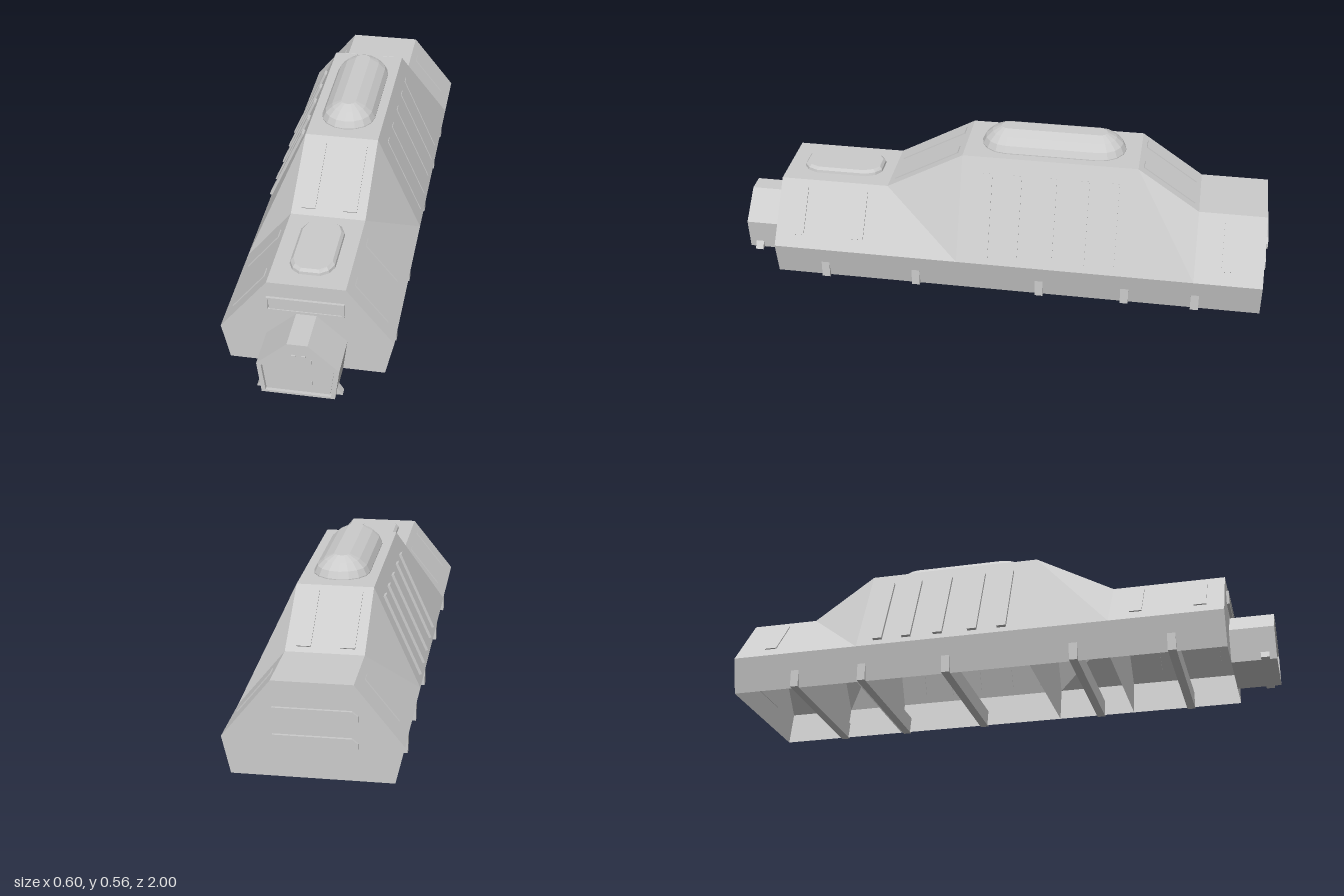
import * as THREE from 'three';

const V = (x, y, z) => new THREE.Vector3(x, y, z);
const mat = new THREE.MeshStandardMaterial({ color: 0xcccccc, flatShading: true, side: THREE.DoubleSide });

function add(parent, name, geo) {
  const mesh = new THREE.Mesh(geo, mat);
  mesh.name = name;
  parent.add(mesh);
  return mesh;
}

// Skin between successive rings of points
function loft(rings, closed) {
  const n = rings[0].length, pos = [];
  const put = (...pts) => pts.forEach(p => pos.push(p.x, p.y, p.z));
  for (let i = 0; i < rings.length - 1; i++) {
    const a = rings[i], b = rings[i + 1];
    for (let k = 0; k < (closed ? n : n - 1); k++) {
      const j = (k + 1) % n;
      put(a[k], b[k], a[j], b[k], b[j], a[j]);
    }
  }
  const g = new THREE.BufferGeometry();
  g.setAttribute('position', new THREE.Float32BufferAttribute(pos, 3));
  g.computeVertexNormals();
  return g;
}

function box(parent, name, w, h, d, x, y, z) {
  return add(parent, name, new THREE.BoxGeometry(w, h, d).translate(x, y, z));
}

// Thin strip lying on a sloped plate, running from a to b
function strip(parent, name, a, b, across, width, thick) {
  const along = b.clone().sub(a), len = along.length();
  along.normalize();
  const normal = across.clone().cross(along);
  const m = new THREE.Matrix4().makeBasis(across, along, normal).setPosition(a.clone().add(b).multiplyScalar(0.5));
  return add(parent, name, new THREE.BoxGeometry(width, len, thick * 2).applyMatrix4(m));
}

function polygon(points) {
  return new THREE.Shape(points.map(([x, y]) => new THREE.Vector2(x, y)));
}

function extrude(shape, depth, z) {
  return new THREE.ExtrudeGeometry(shape, { depth, bevelEnabled: false }).translate(0, 0, z);
}

export function createModel() {
  const model = new THREE.Group();
  model.name = 'armouredHull';

  // Hull: one six-point section, low at the ends and tall amidships
  const LOW = 0.335, HIGH = 0.495;
  const section = top => [[0.27, 0], [0.3, 0.13], [0.135, top], [-0.135, top], [-0.3, 0.13], [-0.27, 0]];
  const stations = [[0.84, LOW], [0.43, LOW], [0.14, HIGH], [-0.51, HIGH], [-0.74, LOW], [-0.99, LOW]];
  add(model, 'hullShell', loft(stations.map(([z, top]) => section(top).map(([x, y]) => V(x, y, z)))));

  // End plates and inner bulkheads; the underside is open
  stations.forEach(([z, top], i) => {
    const end = i === 0 ? 'frontPlate' : i === stations.length - 1 ? 'rearPlate' : 'bulkhead';
    const plate = add(model, end, new THREE.ShapeGeometry(polygon(section(top))));
    plate.position.z = z;
    if (i > 0) plate.rotation.y = Math.PI;
  });

  // Cross beams under the hull, their ends poking out of the skirts
  for (const z of [0.65, 0.3, -0.17, -0.49, -0.75]) box(model, 'crossBeam', 0.57, 0.065, 0.03, 0, 0.0325, z);

  // Side strips on the sloped plates
  for (const s of [1, -1]) {
    const across = V(0, 0, -s);
    const onSide = (top, t, z) => V(s * (0.3 - 0.165 * t), 0.13 + (top - 0.13) * t, z);
    for (const z of [0.04, -0.07, -0.2, -0.32, -0.43])
      strip(model, 'tallSideStrip', onSide(HIGH, 0.06, z), onSide(HIGH, 0.85, z), across, 0.034, s < 0 ? 0.01 : 0.003);
    for (const z of [0.755, 0.525, -0.86])
      strip(model, 'lowSideStrip', onSide(LOW, 0.19, z), onSide(LOW, 0.88, z), across, 0.045, 0.004);

    // Panels on the front and rear ramps
    for (const [z0, z1] of [[0.43, 0.14], [-0.74, -0.51]]) {
      const onRamp = t => V(s * 0.075, LOW + (HIGH - LOW) * t, z0 + (z1 - z0) * t);
      strip(model, 'rampPanel', onRamp(0.08), onRamp(0.92), V(Math.sign(z0), 0, 0), 0.05, 0.004);
    }
  }

  // Long roof blister: stacked stadium rings
  const stadium = (r, y) => {
    const pts = [];
    for (let e = 0; e < 2; e++)
      for (let k = 0; k <= 8; k++) {
        const a = Math.PI * (e + k / 8);
        pts.push(V(r * Math.cos(a), y, -0.185 + (e ? -0.17 : 0.17) + r * Math.sin(a)));
      }
    return pts;
  };
  const blister = [[0.1, 0.49], [0.1, 0.498], [0.088, 0.522], [0.063, 0.545], [0.028, 0.563], [0, 0.563]];
  add(model, 'roofBlister', loft(blister.map(([r, y]) => stadium(r, y)), true));

  // Front roof hatch: bevelled, with clipped corners
  const clipped = (w, l, y) => [
    [w, -l + 0.055], [w, l - 0.055], [w * 0.8, l - 0.02], [w * 0.45, l], [-w * 0.45, l], [-w * 0.8, l - 0.02],
    [-w, l - 0.055], [-w, -l + 0.055], [-w * 0.8, -l + 0.02], [-w * 0.45, -l], [w * 0.45, -l], [w * 0.8, -l + 0.02],
  ].map(([x, z]) => V(x, y, z + 0.625));
  const hatchRings = [clipped(0.08, 0.152, 0.33), clipped(0.077, 0.15, 0.345), clipped(0.068, 0.142, 0.355)];
  hatchRings.push(hatchRings[2].map(() => V(0, 0.355, 0.625)));
  add(model, 'roofHatch', loft(hatchRings, true));

  // Front vision panel: frame and recessed plate
  box(model, 'visionPlate', 0.25, 0.04, 0.008, -0.003, 0.252, 0.842);
  for (const s of [1, -1]) {
    box(model, 'visionFrame', 0.267, 0.006, 0.02, -0.003, 0.252 + s * 0.023, 0.84);
    box(model, 'visionFrame', 0.006, 0.05, 0.02, -0.003 + s * 0.13, 0.252, 0.84);
  }

  // Entrance porch with rim, recessed door and fittings
  const porch = new THREE.Group();
  porch.name = 'entrancePorch';
  model.add(porch);
  const outline = [[0.125, 0], [0.14, 0.12], [0.035, 0.215], [-0.035, 0.215], [-0.14, 0.12], [-0.125, 0]];
  const inner = outline.map(([x, y]) => [x * 0.89, 0.008 + y * 0.88]);
  add(porch, 'porchBody', extrude(polygon(outline), 0.145, 0.84));
  const rim = polygon(outline);
  rim.holes.push(polygon(inner));
  add(porch, 'porchRim', extrude(rim, 0.015, 0.985));
  add(porch, 'door', extrude(polygon(inner.map(([x, y]) => [x * 0.97, 0.003 + y * 0.97])), 0.006, 0.985));
  for (const x of [-0.015, 0.019]) box(porch, 'peepSlot', 0.013, 0.006, 0.008, x, 0.162, 0.993);
  for (const y of [0.052, 0.142]) box(porch, 'doorHinge', 0.004, 0.014, 0.006, 0.045, y, 0.992);
  for (const s of [1, -1])
    add(porch, 'porchFoot', extrude(polygon([[s * 0.12, 0], [s * 0.147, 0], [s * 0.127, 0.03]]), 0.03, 0.945));

  // Two horizontal bars with pointed ends on the rear plate
  for (const y of [0.22, 0.125]) {
    const bar = polygon([[0.15, y - 0.01], [0.15, y + 0.01], [0.13, y + 0.026], [-0.13, y + 0.026],
      [-0.15, y + 0.01], [-0.15, y - 0.01], [-0.13, y - 0.026], [0.13, y - 0.026]]);
    add(model, 'rearBar', extrude(bar, 0.012, -1));
  }
  return model;
}
